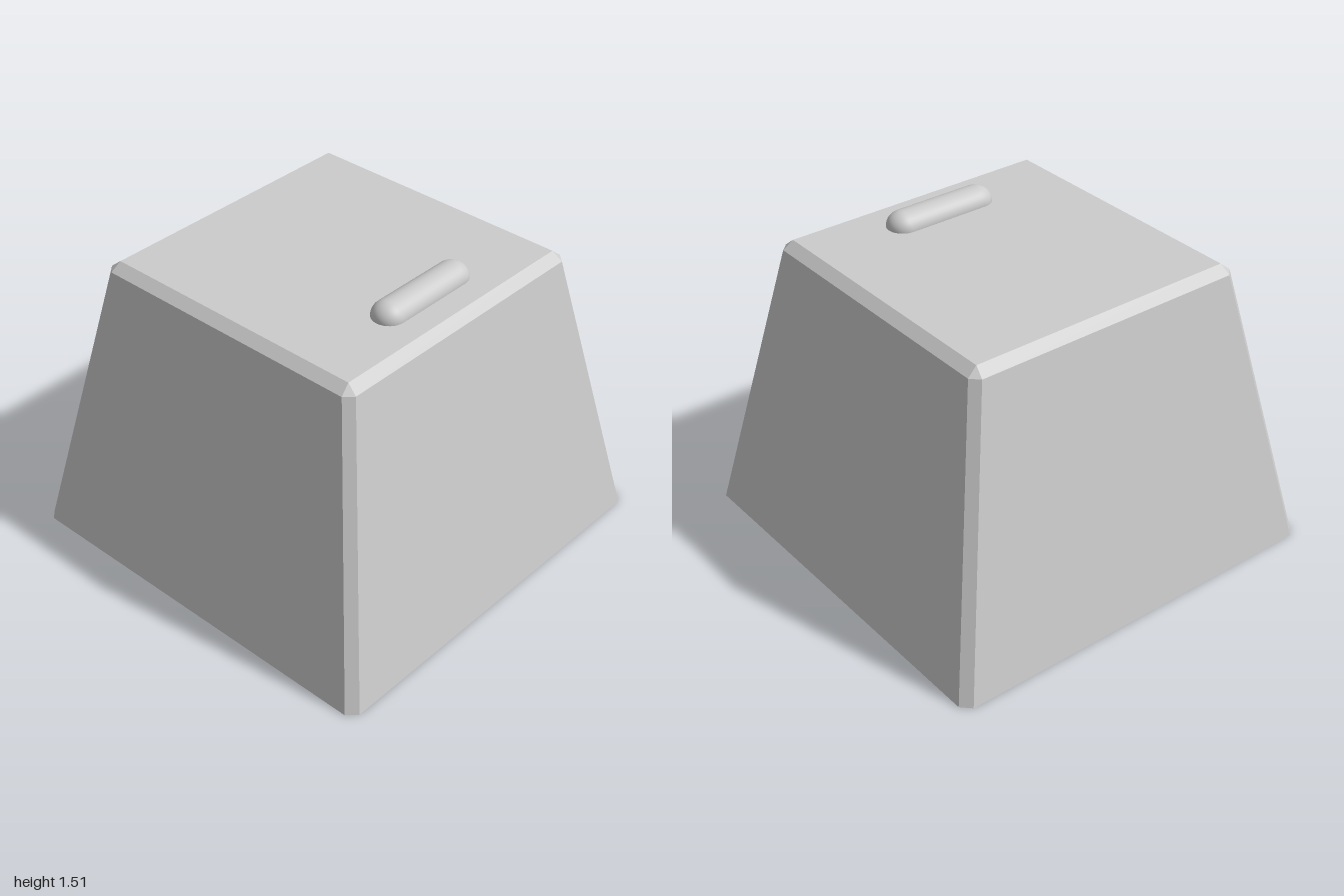
import * as THREE from 'three';

// Square ring with cut corners: h = half width, c = where the corner cut begins
const ring = (y, h, c) =>
  [[h, c], [c, h], [-c, h], [-h, c], [-h, -c], [-c, -h], [c, -h], [h, -c]]
    .map(([x, z]) => new THREE.Vector3(x, y, z));

// Loft through the rings, closed on top and open underneath
function loftShell(rings) {
  const points = [];
  const tri = (a, b, c) => {
    if (!a.equals(b) && !b.equals(c) && !c.equals(a)) points.push(a, b, c);
  };
  for (let r = 0; r < rings.length - 1; r++) {
    const low = rings[r], high = rings[r + 1];
    for (let i = 0; i < 8; i++) {
      const j = (i + 1) % 8;
      tri(low[i], high[i], low[j]);
      tri(high[i], high[j], low[j]);
    }
  }
  const top = rings[rings.length - 1];
  const centre = new THREE.Vector3(0, top[0].y, 0);
  for (let i = 0; i < 8; i++) tri(centre, top[(i + 1) % 8], top[i]);
  const geometry = new THREE.BufferGeometry().setFromPoints(points);
  geometry.computeVertexNormals();
  return geometry;
}

export function createModel() {
  const group = new THREE.Group();
  group.name = 'keycap';

  // Hollow tapered shell with bevelled edges
  const shell = new THREE.Mesh(
    loftShell([ring(0, 1, 0.955), ring(1.395, 0.724, 0.684), ring(1.435, 0.675, 0.675)]),
    new THREE.MeshStandardMaterial({ color: 0xcccccc, flatShading: true, side: THREE.DoubleSide })
  );
  shell.name = 'shell';
  group.add(shell);

  // Raised finger bar near the front of the top
  const bar = new THREE.Mesh(
    new THREE.CapsuleGeometry(0.08, 0.41, 12, 32).rotateZ(Math.PI / 2),
    new THREE.MeshStandardMaterial({ color: 0xcccccc })
  );
  bar.name = 'fingerBar';
  bar.scale.y = 0.9;
  bar.position.set(0, 1.438, 0.48);
  group.add(bar);

  return group;
}
